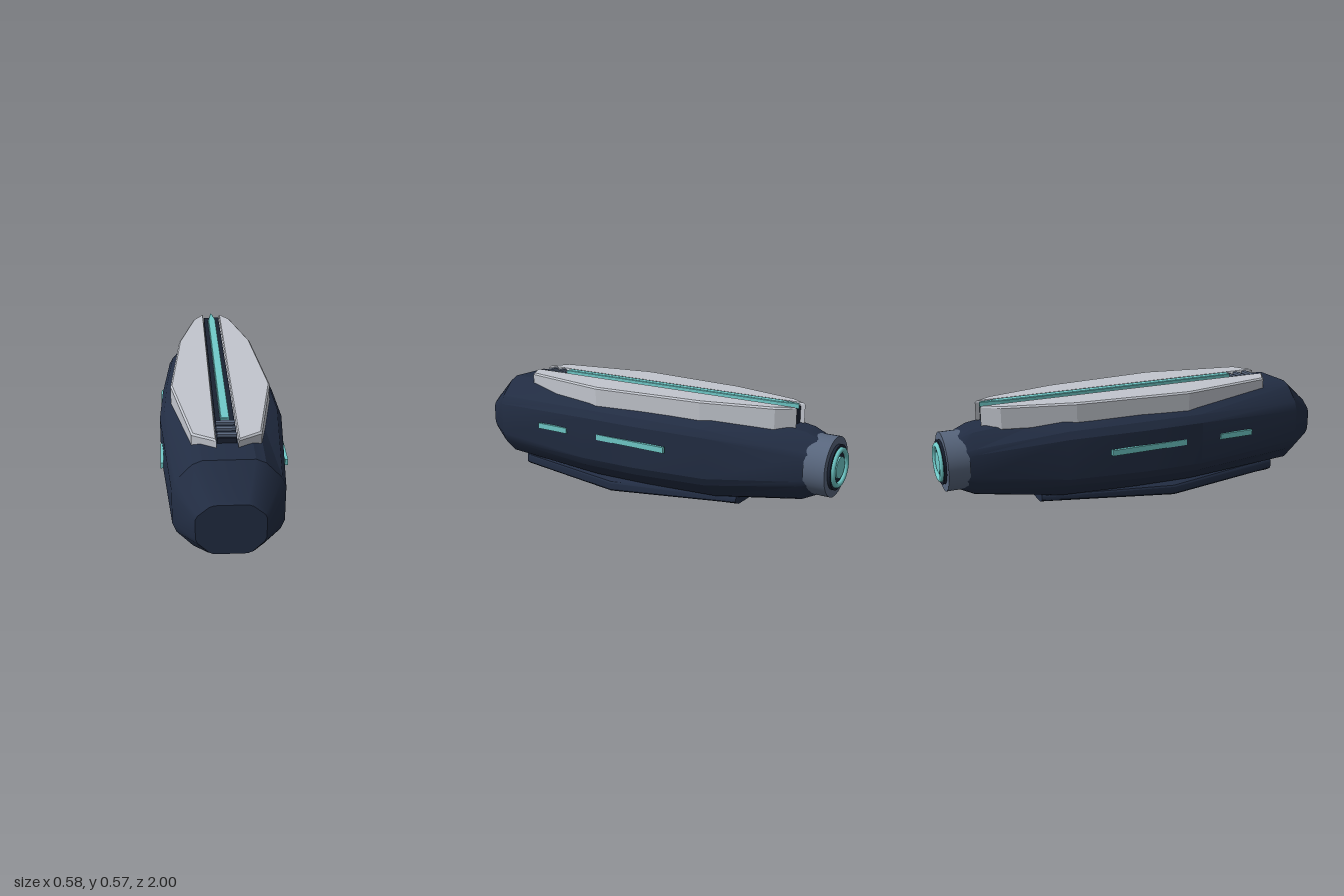
import * as THREE from 'three';
import { toCreasedNormals } from 'three/addons/utils/BufferGeometryUtils.js';

const paint = (name, color) => {
  const m = new THREE.MeshStandardMaterial({ color });
  m.name = name;
  return m;
};

// Closed body through equal-length outlines, ordered front to back
function loft(sections) {
  const n = sections[0].pts.length, pos = [], idx = [];
  for (const { z, pts } of sections) for (const [x, y] of pts) pos.push(x, y, z);
  const last = (sections.length - 1) * n;
  for (let s = 0; s < last; s += n) {
    for (let j = 0; j < n; j++) {
      const k = (j + 1) % n, a = s + j, b = s + k, c = s + n + k, d = s + n + j;
      idx.push(a, d, c, a, c, b);
    }
  }
  for (let j = 1; j < n - 1; j++) idx.push(0, j, j + 1, last, last + j + 1, last + j);
  const g = new THREE.BufferGeometry();
  g.setAttribute('position', new THREE.Float32BufferAttribute(pos, 3));
  g.setIndex(idx);
  return toCreasedNormals(g, 0.4);
}

// Symmetric octagon with clipped corners
function octagon(z, hw, top, bot, xTop, xBot, hi, lo, clip) {
  const c = [[xBot, bot], [hw, lo], [hw, hi], [xTop, top], [-xTop, top], [-hw, hi], [-hw, lo], [-xBot, bot]];
  const pts = [];
  c.forEach((p, i) => {
    for (const q of [c[(i + 7) % 8], c[(i + 1) % 8]]) {
      const t = clip / Math.hypot(q[0] - p[0], q[1] - p[1]);
      pts.push([p[0] + (q[0] - p[0]) * t, p[1] + (q[1] - p[1]) * t]);
    }
  });
  return { z, pts };
}

// Flat outline in (x, z), extruded upward with a small bevel
function slab(points, y0, y1, bevel) {
  const shape = new THREE.Shape(points.map(([x, z]) => new THREE.Vector2(x, -z)));
  const g = new THREE.ExtrudeGeometry(shape, {
    depth: y1 - y0 - 2 * bevel, bevelEnabled: true, bevelThickness: bevel,
    bevelSize: bevel, bevelOffset: -bevel, bevelSegments: 1,
  });
  return g.rotateX(-Math.PI / 2).translate(0, y0 + bevel, 0);
}

export function createModel() {
  const group = new THREE.Group();
  const navy = paint('navy hull', 0x222d43);
  const dark = paint('dark trim', 0x1a2232);
  const steel = paint('steel blue', 0x58667d);
  const silver = paint('silver plate', 0xc2c6ce);
  const teal = paint('teal light', 0x70cbca);
  const add = (name, geo, mat, x = 0, y = 0, z = 0) => {
    const m = new THREE.Mesh(geo, mat);
    m.name = name;
    m.position.set(x, y, z);
    group.add(m);
    return m;
  };

  // Faceted hull
  add('hull', loft([
    octagon(1.0, 0.145, 0.405, 0.17, 0.08, 0.08, 0.35, 0.235, 0.012),
    octagon(0.985, 0.156, 0.415, 0.16, 0.085, 0.085, 0.355, 0.23, 0.014),
    octagon(0.85, 0.238, 0.525, 0.09, 0.135, 0.135, 0.415, 0.2, 0.025),
    octagon(0.25, 0.291, 0.528, 0.07, 0.135, 0.15, 0.44, 0.18, 0.025),
    octagon(-0.05, 0.279, 0.526, 0.072, 0.13, 0.14, 0.437, 0.18, 0.025),
    octagon(-0.43, 0.245, 0.517, 0.082, 0.115, 0.12, 0.43, 0.19, 0.022),
    octagon(-0.84, 0.138, 0.462, 0.142, 0.07, 0.07, 0.375, 0.235, 0.014),
    octagon(-0.93, 0.117, 0.425, 0.185, 0.055, 0.055, 0.36, 0.25, 0.01),
  ]), navy);

  // Keel under the belly
  add('keel', loft([
    octagon(0.78, 0.13, 0.1, 0.025, 0.12, 0.1, 0.085, 0.045, 0.004),
    octagon(0.15, 0.195, 0.085, 0, 0.14, 0.1, 0.066, 0.02, 0.006),
    octagon(-0.53, 0.11, 0.12, 0.058, 0.09, 0.08, 0.095, 0.072, 0.004),
  ]), navy);

  // Back plates, spine and running lights
  const outline = [[0.046, -0.79], [0.105, -0.71], [0.19, -0.37], [0.237, 0.2], [0.15, 0.69], [0.046, 0.75]];
  for (const [s, side] of [[1, 'left'], [-1, 'right']]) {
    add(side + 'BackPlate', slab(outline.map(([x, z]) => [s * x, z]), 0.45, 0.564, 0.008), silver);
    add(side + 'FrontLight', new THREE.BoxGeometry(0.014, 0.028, 0.185), teal, s * 0.281, 0.327, 0.45);
    add(side + 'RearLight', new THREE.BoxGeometry(0.016, 0.028, 0.395), teal, s * 0.281, 0.327, -0.035);
  }
  add('spine', new THREE.BoxGeometry(0.084, 0.102, 1.48), dark, 0, 0.499, -0.03);
  for (const z of [0.58, 0.635, 0.69]) {
    add('spineSlat', new THREE.BoxGeometry(0.084, 0.012, 0.022), steel, 0, 0.556, z);
  }
  add('spineLight', slab([[-0.02, 0.565], [0.02, 0.565], [0.02, -0.68], [0.004, -0.78], [-0.004, -0.78], [-0.02, -0.68]],
    0.545, 0.572, 0.003), teal);

  // Tail thruster
  const disc = (r, len) => new THREE.CylinderGeometry(r, r, len, 40).rotateX(Math.PI / 2);
  add('tailCollar', disc(0.14, 0.1), steel, 0, 0.306, -0.922);
  add('tailSocket', disc(0.105, 0.014), dark, 0, 0.306, -0.978);
  add('tailLightRing', new THREE.TorusGeometry(0.081, 0.013, 10, 40), teal, 0, 0.306, -0.987);
  add('tailLightCore', disc(0.05, 0.01), teal, 0, 0.306, -0.988);
  return group;
}
